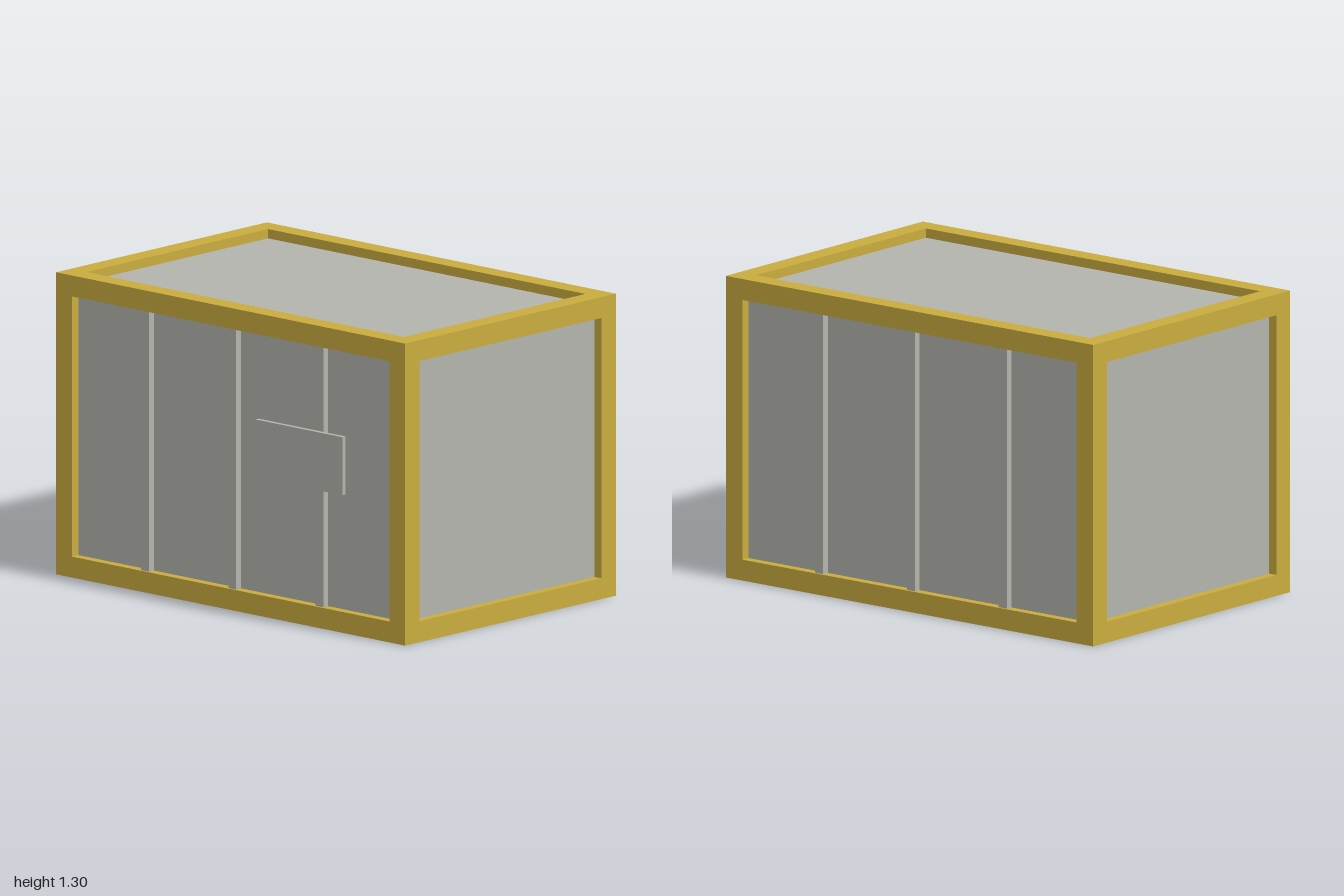
import * as THREE from 'three';

const L = 2, H = 1.3, D = 1.3;   // outer size of the frame
const BEAM = 0.09;               // square beam thickness
const RECESS = 0.04;             // how far the panels sit inside the frame
const ZC = -0.005;               // frame centre in z, balancing the front plate

export function createModel() {
  const model = new THREE.Group();
  model.name = 'container';
  const yellow = new THREE.MeshStandardMaterial({ color: 0xc9ac3f });
  yellow.name = 'frame yellow';
  const grey = new THREE.MeshStandardMaterial({ color: 0xb4b4ad });
  grey.name = 'panel grey';

  const addBox = (parent, name, material, size, position) => {
    const mesh = new THREE.Mesh(new THREE.BoxGeometry(...size), material);
    mesh.name = name;
    mesh.position.set(...position);
    parent.add(mesh);
  };

  // Container body behind the frame
  addBox(model, 'panelBody', grey,
    [L - 2 * RECESS, H - 2 * RECESS, D - 2 * RECESS], [0, H / 2, ZC]);

  // Twelve edge beams, butted together at the corners
  const frame = new THREE.Group();
  frame.name = 'frame';
  model.add(frame);
  const x = (L - BEAM) / 2, y = (H - BEAM) / 2, z = (D - BEAM) / 2;
  for (const a of [-1, 1]) {
    for (const b of [-1, 1]) {
      addBox(frame, 'longBeam', yellow, [L, BEAM, BEAM], [0, H / 2 + a * y, ZC + b * z]);
      addBox(frame, 'cornerPost', yellow, [BEAM, H - 2 * BEAM, BEAM], [a * x, H / 2, ZC + b * z]);
      addBox(frame, 'crossBeam', yellow, [BEAM, BEAM, D - 2 * BEAM], [a * x, H / 2 + b * y, ZC]);
    }
  }

  // Upright ribs on the front and back panels, just short of the frame face
  const ribs = new THREE.Group();
  ribs.name = 'ribs';
  model.add(ribs);
  const ribDepth = 0.04, ribFace = D / 2 - 0.01;
  for (const side of [-1, 1]) {
    for (const rx of [-0.5, 0, 0.5]) {
      addBox(ribs, 'rib', grey, [0.045, H - 2 * BEAM, ribDepth],
        [rx, H / 2, ZC + side * (ribFace - ribDepth / 2)]);
    }
  }

  // Blank plate mounted on the front ribs
  addBox(model, 'frontPlate', grey, [0.5, 0.25, 0.02], [0.4, 0.72, 0.645]);

  return model;
}
